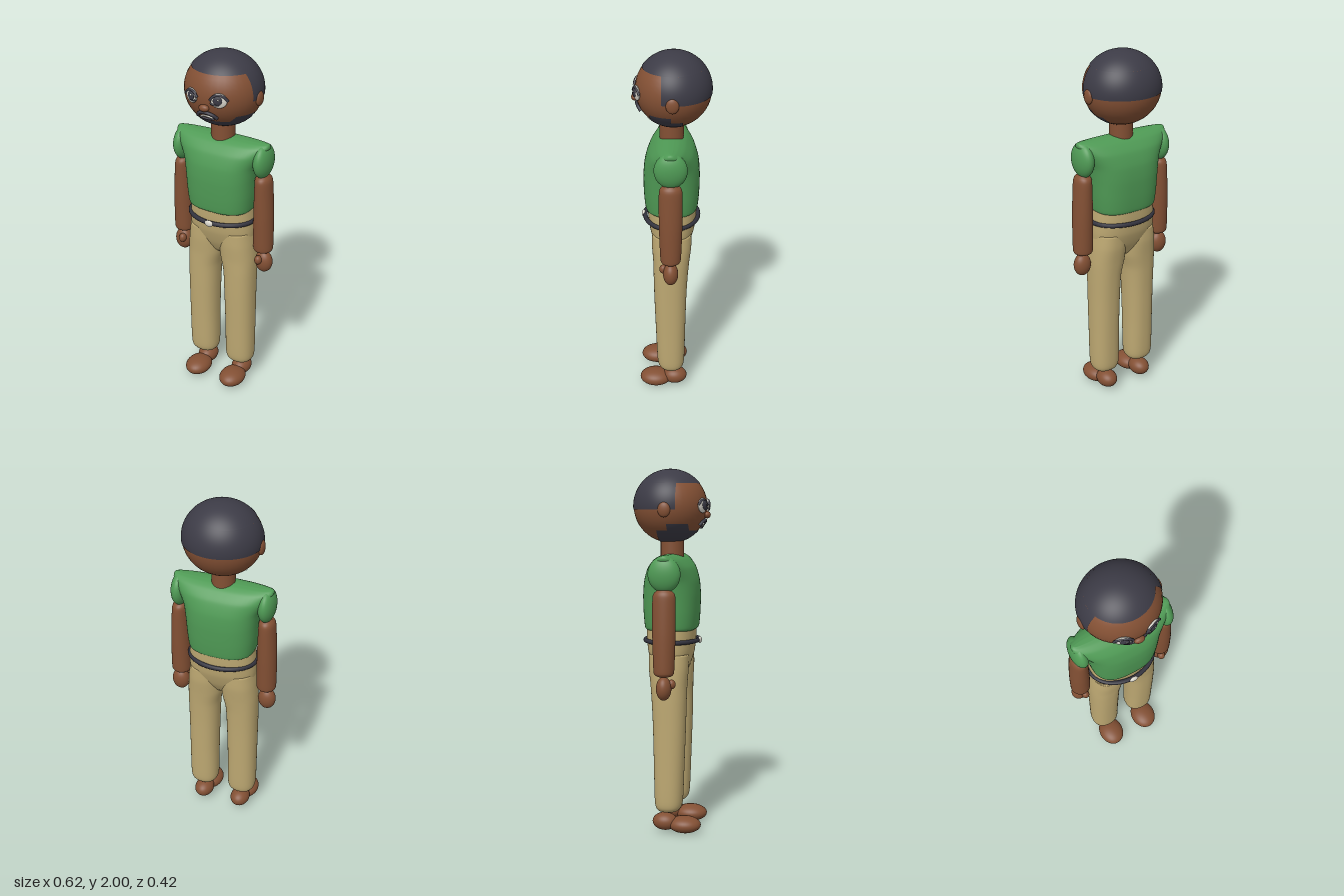
import * as THREE from 'three';
import { mergeVertices } from 'three/addons/utils/BufferGeometryUtils.js';

const paint = (name, color) => Object.assign(new THREE.MeshStandardMaterial({ color }), { name });
const skin = paint('skin', 0x835034);
const hairMat = paint('hair', 0x3c3b46);
const shirtMat = paint('shirt', 0x4f9a55);
const trouserMat = paint('trousers', 0xbda872);
const beltMat = paint('belt', 0x32323d);
const white = paint('white', 0xd9d6cc);

// Smooth surface from rows (bottom to top) and columns (anticlockwise seen from below).
function grid(rows, cols, at) {
  const pos = [], index = [];
  for (let r = 0; r <= rows; r++) for (let c = 0; c <= cols; c++) pos.push(...at(r / rows, c / cols));
  for (let r = 0; r < rows; r++) for (let c = 0; c < cols; c++) {
    const a = r * (cols + 1) + c, d = a + cols + 1;
    index.push(a, a + 1, d, a + 1, d + 1, d);
  }
  let g = new THREE.BufferGeometry();
  g.setAttribute('position', new THREE.Float32BufferAttribute(pos, 3));
  g.setIndex(index);
  g = mergeVertices(g, 1e-5);
  g.computeVertexNormals();
  return g;
}

// Closed body through cross-sections [y, cx, cz, rx, rz], rounded by exponent n.
function loft(sections, n) {
  const ends = [sections[0], ...sections, sections[sections.length - 1]];
  const mid = new THREE.CatmullRomCurve3(sections.map(([y, cx, cz]) => new THREE.Vector3(cx, y, cz)), false, 'catmullrom', 0.4);
  const size = new THREE.CatmullRomCurve3(sections.map(s => new THREE.Vector3(s[3], s[4], 0)), false, 'catmullrom', 0.4);
  const rows = ends.length * 5;
  const bend = v => Math.sign(v) * Math.pow(Math.abs(v), 2 / n);
  return grid(rows, 56, (v, u) => {
    const t = THREE.MathUtils.clamp((v * rows - 1) / (rows - 2), 0, 1);
    const p = mid.getPoint(t), s = size.getPoint(t);
    const k = v === 0 || v === 1 ? 0 : 1, a = u % 1 * Math.PI * 2;
    return [p.x + k * s.x * bend(Math.sin(a)), p.y, p.z + k * s.y * bend(Math.cos(a))];
  });
}

// Head ellipsoid measures, shared by hair, beard and face.
const HEAD = { y: 1.8, z: -0.01, rx: 0.215, ry: 0.2, rz: 0.203 };
const ring = y => Math.sqrt(Math.max(0, 1 - ((y - HEAD.y) / HEAD.ry) ** 2));
const angleAt = (y, z) => Math.acos(THREE.MathUtils.clamp((z - HEAD.z) / (HEAD.rz * ring(y) + 1e-6), -1, 1));
function headPatch(y0, y1, from, to) {
  const a0 = Math.asin((y0 - HEAD.y) / HEAD.ry), a1 = Math.asin((y1 - HEAD.y) / HEAD.ry);
  return grid(20, 64, (v, u) => {
    const y = HEAD.y + HEAD.ry * Math.sin(a0 + (a1 - a0) * v);
    const a = from(y) + (to(y) - from(y)) * u, s = ring(y);
    return [HEAD.rx * s * Math.sin(a), y, HEAD.z + HEAD.rz * s * Math.cos(a)];
  });
}
const onHead = (x, y, out = 0) => new THREE.Vector3(x, y,
  HEAD.z + out + HEAD.rz * Math.sqrt(1 - (x / HEAD.rx) ** 2 - ((y - HEAD.y) / HEAD.ry) ** 2));

export function createModel() {
  const model = new THREE.Group();
  model.name = 'standingMan';
  const add = (name, geometry, material, parent = model) => {
    const mesh = new THREE.Mesh(geometry, material);
    mesh.name = name;
    parent.add(mesh);
    return mesh;
  };
  const ball = (name, material, [x, y, z], [rx, ry, rz], parent) => {
    const mesh = add(name, new THREE.SphereGeometry(1, 36, 24), material, parent);
    mesh.position.set(x, y, z);
    mesh.scale.set(rx, ry, rz);
    return mesh;
  };
  // Thin line lying on the face through [x, y] points
  const faceLine = (name, material, points, r, out, parent) => add(name, new THREE.TubeGeometry(
    new THREE.CatmullRomCurve3(points.map(([x, y]) => onHead(x, y, out))), 24, r, 8), material, parent);

  // Head, hair and beard
  const head = new THREE.Group();
  head.name = 'head';
  model.add(head);
  ball('skull', skin, [0, HEAD.y, HEAD.z], [0.2125, 0.1975, 0.2005], head);
  add('hairCap', headPatch(1.92, 2, () => 0, () => Math.PI * 2), hairMat, head);
  add('hairBack', headPatch(1.78, 1.92, y => angleAt(y, 0.05), y => Math.PI * 2 - angleAt(y, 0.05)), hairMat, head);
  add('beardChin', headPatch(1.602, 1.67, y => -angleAt(y, -0.06), y => angleAt(y, -0.06)), hairMat, head);
  add('leftBeardSide', headPatch(1.67, 1.705, y => angleAt(y, 0.11), y => angleAt(y, 0)), hairMat, head);
  add('rightBeardSide', headPatch(1.67, 1.705, y => -angleAt(y, 0), y => -angleAt(y, 0.11)), hairMat, head);

  // Nose, moustache and mouth
  ball('nose', skin, [0, 1.753, 0.193], [0.029, 0.019, 0.018], head);
  faceLine('moustache', hairMat, [[-0.058, 1.694], [-0.04, 1.715], [0, 1.725], [0.04, 1.715], [0.058, 1.694]], 0.009, 0.004, head);
  faceLine('teeth', white, [[-0.036, 1.694], [0, 1.704], [0.036, 1.694]], 0.005, 0.005, head);
  faceLine('lowerLip', hairMat, [[-0.045, 1.688], [0, 1.684], [0.045, 1.688]], 0.006, 0.005, head);

  for (const s of [1, -1]) {
    const side = s > 0 ? 'left' : 'right';

    // Ear and eye
    ball(side + 'Ear', skin, [s * 0.211, 1.78, -0.008], [0.016, 0.04, 0.034], head);
    const eye = new THREE.Group();
    eye.name = side + 'Eye';
    head.add(eye);
    const c = onHead(s * 0.08, 1.803);
    const sclera = ball('eyeWhite', white, c.toArray(), [0.043, 0.04, 0.012], eye);
    sclera.rotation.y = s * 0.38;
    const iris = ball('iris', hairMat, onHead(s * 0.078, 1.805, 0.01).toArray(), [0.024, 0.024, 0.008], eye);
    iris.rotation.y = s * 0.38;
    ball('glint', white, onHead(s * 0.078 + 0.006, 1.812, 0.018).toArray(), [0.005, 0.005, 0.003], eye);
    faceLine('upperLash', hairMat, [[s * 0.037, 1.803], [s * 0.055, 1.825], [s * 0.08, 1.833], [s * 0.105, 1.825], [s * 0.125, 1.803]], 0.007, 0.008, eye);
    faceLine('lowerLash', hairMat, [[s * 0.04, 1.79], [s * 0.06, 1.782], [s * 0.085, 1.782]], 0.005, 0.01, eye);

    // Sleeve, arm, hand and thumb
    const arm = new THREE.Group();
    arm.name = side + 'Arm';
    model.add(arm);
    ball('sleeve', shirtMat, [s * 0.246, 1.442, 0], [0.047, 0.096, 0.088], arm);
    add('forearm', loft([
      [0.9, s * 0.254, 0, 0.035, 0.035], [0.91, s * 0.254, 0, 0.05, 0.05],
      [0.94, s * 0.254, 0, 0.055, 0.056], [1.12, s * 0.253, 0, 0.054, 0.062],
      [1.3, s * 0.25, 0, 0.047, 0.062], [1.34, s * 0.248, 0, 0.042, 0.056], [1.36, s * 0.247, 0, 0.028, 0.035],
    ], 2), skin, arm);
    ball('hand', skin, [s * 0.26, 0.835, 0], [0.05, 0.064, 0.041], arm);
    ball('thumb', skin, [s * 0.245, 0.857, 0.04], [0.021, 0.026, 0.022], arm);

    // Trouser leg, narrowing inward at the crotch
    add(side + 'TrouserLeg', loft([
      [0.122, s * 0.118, 0, 0.045, 0.04], [0.135, s * 0.118, 0, 0.068, 0.062],
      [0.18, s * 0.118, 0.002, 0.082, 0.077], [0.4, s * 0.118, 0.004, 0.084, 0.084],
      [0.6, s * 0.116, 0.005, 0.087, 0.09], [0.74, s * 0.113, 0.003, 0.091, 0.095],
      [0.83, s * 0.103, 0, 0.1, 0.1], [0.92, s * 0.097, -0.002, 0.099, 0.108],
      [1.0, s * 0.093, -0.002, 0.092, 0.108],
    ], 2.3), trouserMat);

    // Rounded shoe
    ball(side + 'Toe', skin, [s * 0.116, 0.047, 0.09], [0.073, 0.047, 0.091]);
    ball(side + 'Heel', skin, [s * 0.116, 0.06, -0.02], [0.056, 0.049, 0.07]);
  }

  // Neck
  const neck = add('neck', new THREE.CylinderGeometry(0.064, 0.064, 0.12, 40), skin);
  neck.position.y = 1.57;

  // Shirt body, closing to a ridge across the shoulders
  add('shirtBody', loft([
    [1.13, 0, 0, 0.172, 0.13], [1.145, 0, 0, 0.184, 0.143], [1.22, 0, 0, 0.193, 0.15],
    [1.32, 0, 0, 0.201, 0.152], [1.4, 0, 0, 0.214, 0.144], [1.47, 0, 0, 0.25, 0.119],
    [1.515, 0, 0, 0.279, 0.08], [1.535, 0, 0, 0.278, 0.045], [1.542, 0, 0, 0.265, 0.015],
  ], 2.7), shirtMat);

  // Hips
  add('trouserHips', loft([
    [0.83, 0, 0, 0.08, 0.025], [0.86, 0, 0, 0.13, 0.06], [0.92, 0, -0.002, 0.18, 0.095],
    [1.0, 0, -0.003, 0.19, 0.122], [1.08, 0, -0.003, 0.187, 0.132], [1.14, 0, -0.003, 0.182, 0.134],
  ], 2.3), trouserMat);

  // Belt and buckle
  const loop = new THREE.CatmullRomCurve3(Array.from({ length: 24 }, (_, i) => {
    const a = i / 24 * Math.PI * 2;
    return new THREE.Vector3(0.19 * Math.sin(a), 1.07, 0.146 * Math.cos(a));
  }), true);
  add('belt', new THREE.TubeGeometry(loop, 72, 0.0125, 10, true), beltMat);
  ball('buckle', white, [0, 1.07, 0.154], [0.025, 0.019, 0.011]);

  return model;
}
